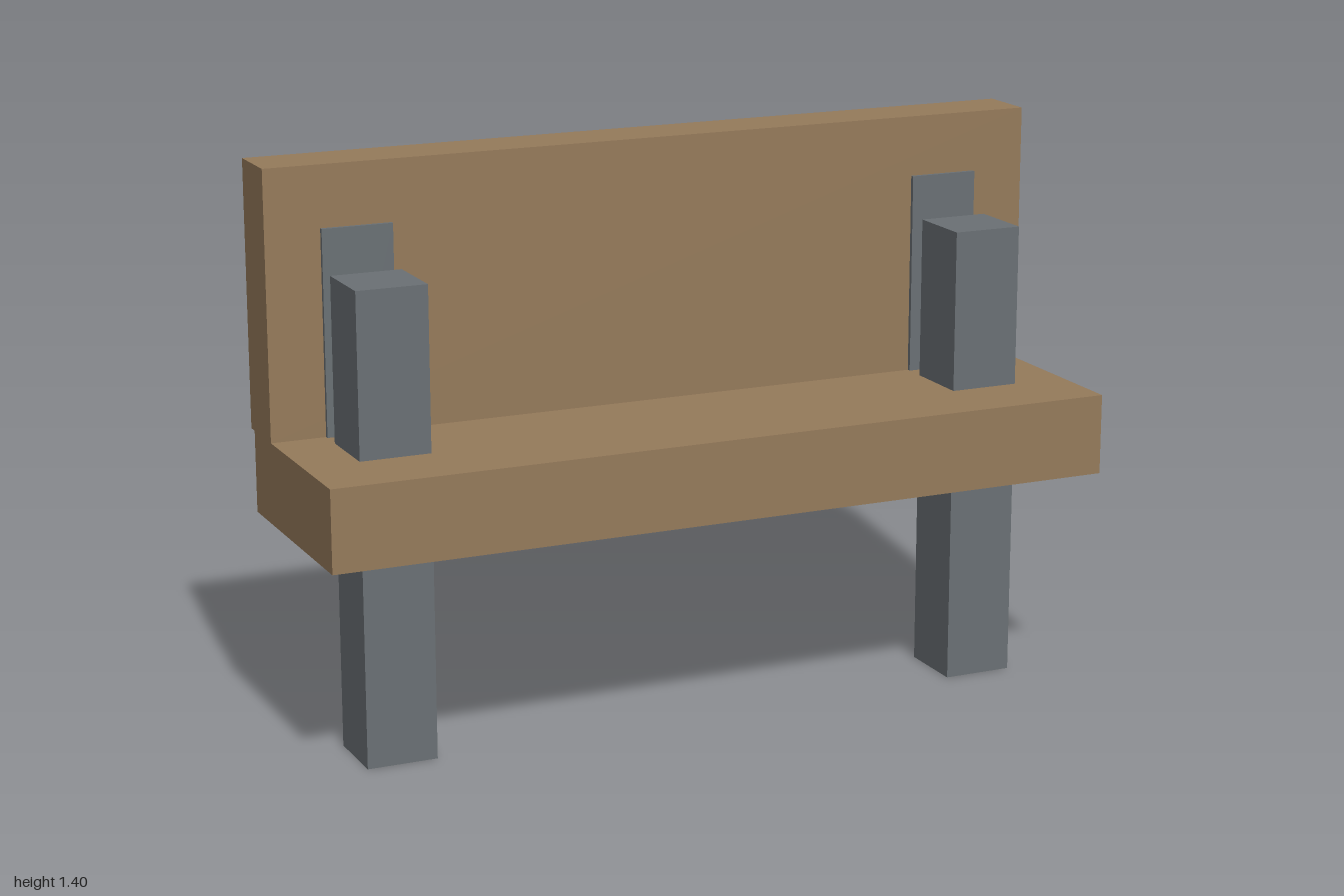
import * as THREE from 'three';

const wood = new THREE.MeshStandardMaterial({ color: 0x967b5b });
const metal = new THREE.MeshStandardMaterial({ color: 0x6b7175 });

// Box given by its minimum and maximum on each axis
function block(name, material, [x0, x1], [y0, y1], [z0, z1]) {
  const mesh = new THREE.Mesh(new THREE.BoxGeometry(x1 - x0, y1 - y0, z1 - z0), material);
  mesh.position.set((x0 + x1) / 2, (y0 + y1) / 2, (z0 + z1) / 2);
  mesh.name = name;
  return mesh;
}

export function createModel() {
  const bench = new THREE.Group();
  bench.name = 'bench';

  // Wooden planks
  bench.add(block('seat', wood, [-1, 1], [0.55, 0.75], [-0.255, 0.295]));
  bench.add(block('backrest', wood, [-1, 1], [0.75, 1.4], [-0.28, -0.13]));

  // Square posts running through the seat, and straps gripping the backrest
  for (const [side, x] of [['left', 0.774], ['right', -0.777]]) {
    const span = [x - 0.0875, x + 0.0875];
    bench.add(block(side + 'Post', metal, span, [0, 1.15], [-0.068, 0.107]));
    bench.add(block(side + 'BackStrap', metal, span, [0.55, 1.25], [-0.295, -0.12]));
  }
  return bench;
}
